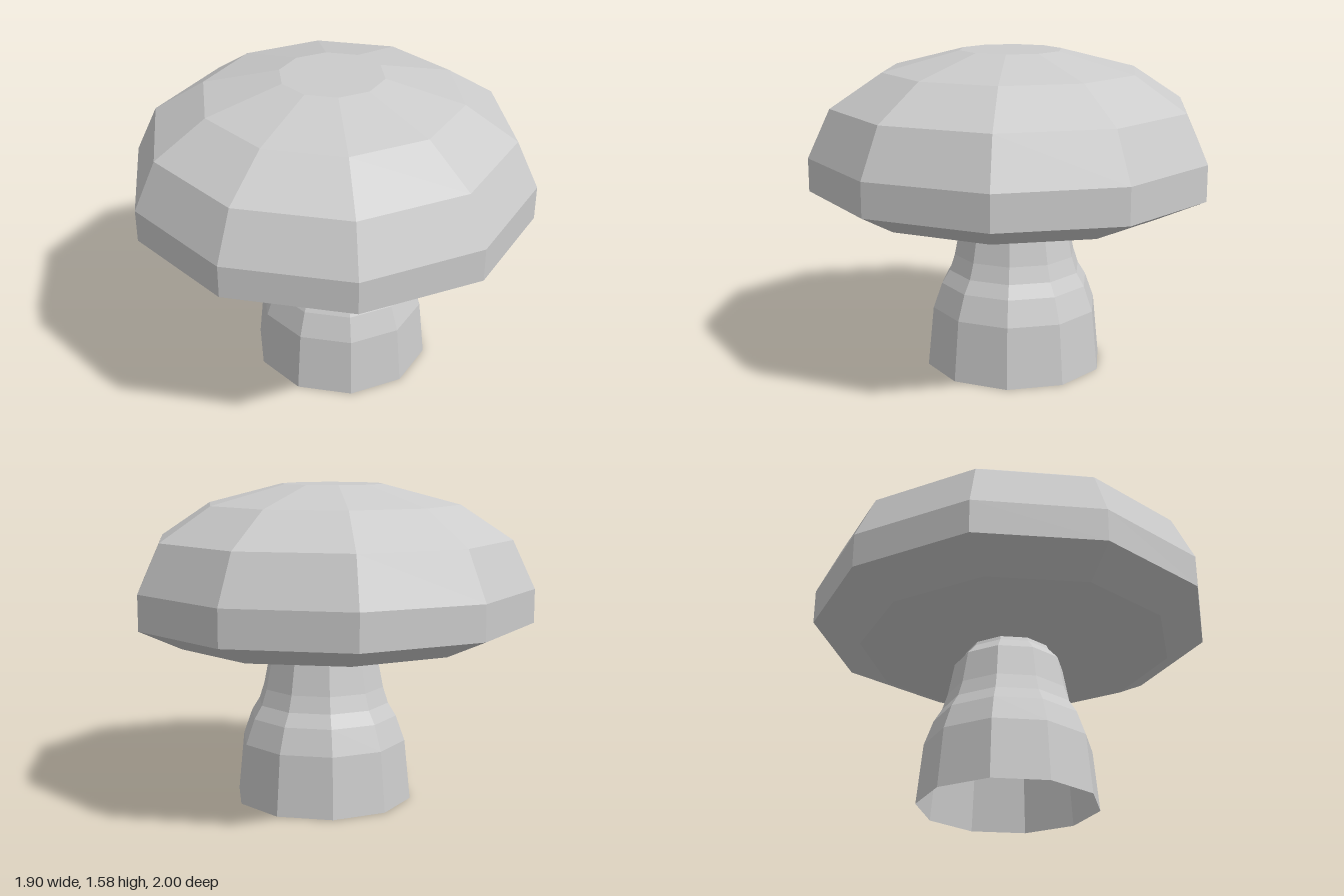
import * as THREE from 'three';

const SIDES = 10;

// Faceted ten-sided turned form from [radius, y] pairs, bottom to top
function turned(name, profile, side) {
  const points = profile.map(([r, y]) => new THREE.Vector2(r, y));
  const geometry = new THREE.LatheGeometry(points, SIDES);
  const material = new THREE.MeshStandardMaterial({ color: 0xcccccc, flatShading: true, side });
  const mesh = new THREE.Mesh(geometry, material);
  mesh.name = name;
  return mesh;
}

export function createModel() {
  const group = new THREE.Group();
  group.name = 'mushroom';

  // Closed cap with a flat crown and flat underside
  const cap = turned('cap', [
    [0, 0.811], [0.785, 0.811], [1, 0.912], [1, 1.08],
    [0.89, 1.315], [0.635, 1.482], [0.255, 1.58], [0, 1.58],
  ], THREE.FrontSide);

  // The underside and lower rim lean slightly, and the underside is off centre
  const p = cap.geometry.attributes.position;
  for (let i = 0; i < p.count; i++) {
    const x = p.getX(i), y = p.getY(i), z = p.getZ(i);
    if (y < 0.85) p.setXYZ(i, x + 0.015, y + 0.012 * z - 0.003 * x, z + 0.015);
    else if (y < 1) p.setY(i, y + 0.008 * z);
  }
  cap.geometry.computeVertexNormals();
  group.add(cap);

  // Hollow stem, open at the foot and set slightly off centre
  const stem = turned('stem', [
    [0.448, 0], [0.418, 0.3], [0.373, 0.425], [0.333, 0.49],
    [0.307, 0.57], [0.275, 0.735], [0.225, 0.79], [0.215, 0.812],
  ], THREE.DoubleSide);
  stem.position.set(0.034, 0, -0.036);
  group.add(stem);

  return group;
}
